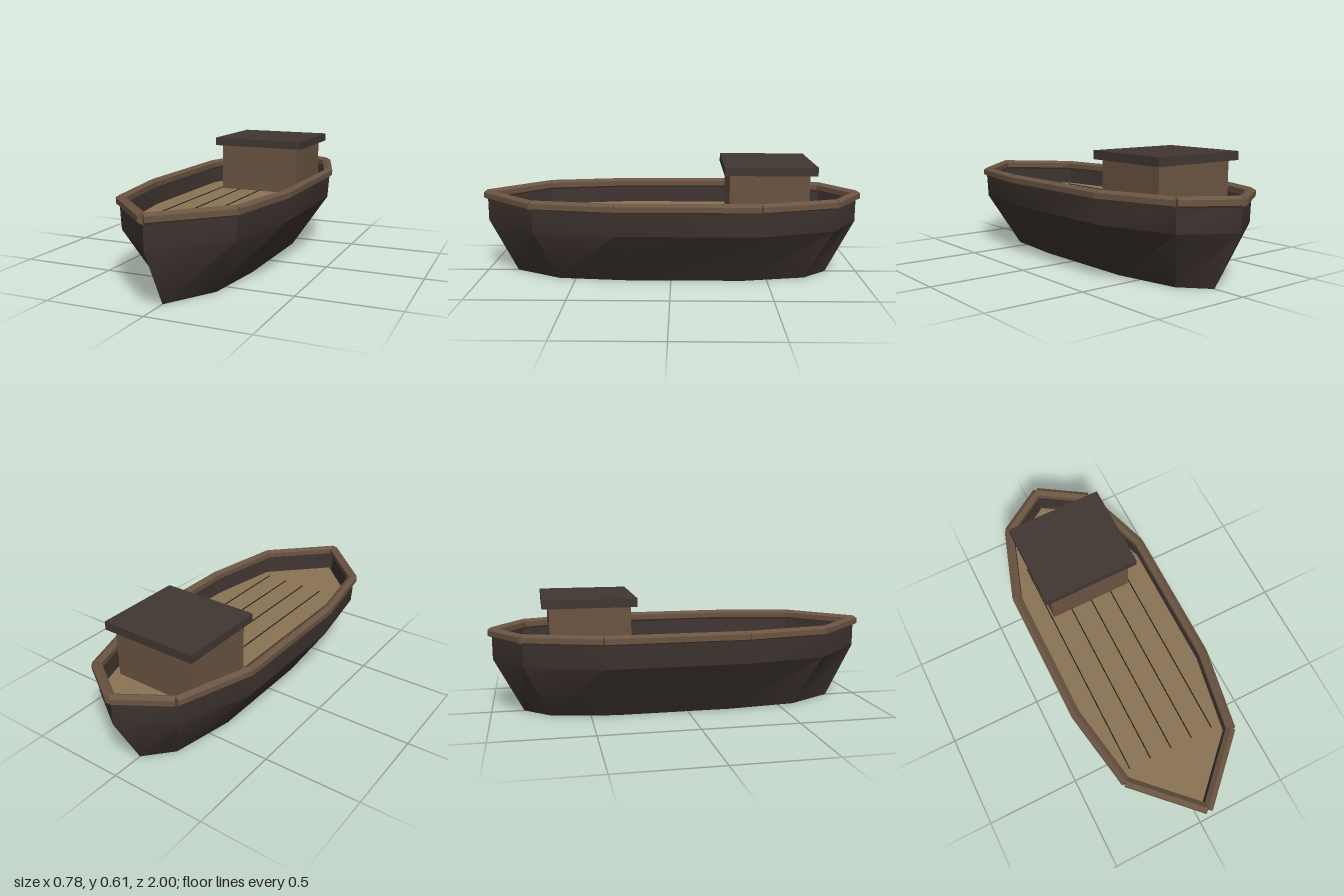
import * as THREE from 'three';
import { toCreasedNormals } from 'three/addons/utils/BufferGeometryUtils.js';

const mat = (color, options = { flatShading: true }) =>
  new THREE.MeshStandardMaterial({ color, ...options });

// Half outline of the boat from bow to stern as [x, z], mirrored into a closed ring
const half = [[0, 0.983], [0.293, 0.69], [0.365, 0.272], [0.365, -0.443], [0.24, -0.825], [0, -0.98]];
const ring = [...half, ...half.slice(1, -1).reverse().map(([x, z]) => [-x, z])];

// Loft through scaled copies of the ring: levels are [y, xScale, zScale]
function loft(levels, capBottom, capTop) {
  const pos = [];
  const n = ring.length;
  const at = ([y, sx, sz], i) => [ring[i % n][0] * sx, y, ring[i % n][1] * sz];
  for (let l = 0; l < levels.length - 1; l++) {
    for (let i = 0; i < n; i++) {
      const a = at(levels[l], i), b = at(levels[l], i + 1);
      const c = at(levels[l + 1], i + 1), d = at(levels[l + 1], i);
      pos.push(...a, ...b, ...c, ...a, ...c, ...d);
    }
  }
  const top = levels[levels.length - 1];
  for (let i = 1; i < n - 1; i++) {
    if (capBottom) pos.push(...at(levels[0], 0), ...at(levels[0], i + 1), ...at(levels[0], i));
    if (capTop) pos.push(...at(top, 0), ...at(top, i), ...at(top, i + 1));
  }
  const geo = new THREE.BufferGeometry();
  geo.setAttribute('position', new THREE.Float32BufferAttribute(pos, 3));
  return toCreasedNormals(geo, 0.47);
}

export function createModel() {
  const boat = new THREE.Group();
  boat.name = 'boat';
  const add = (name, geometry, material, x = 0, y = 0, z = 0, parent = boat) => {
    const mesh = new THREE.Mesh(geometry, material);
    mesh.name = name;
    mesh.position.set(x, y, z);
    parent.add(mesh);
    return mesh;
  };

  const hullMat = mat(0x3e3430, { side: THREE.DoubleSide });
  const woodMat = mat(0x6a5442);
  const deckMat = mat(0x8b7355);
  const seamMat = mat(0x2a231f);
  const roofMat = mat(0x413733);

  // Open hull: narrow flat bottom, flared sides, nearly upright bulwark
  add('hull', loft([[0, 0.5, 0.85], [0.28, 0.997, 1], [0.42, 1.028, 1]], true, false), hullMat);

  // Deck set down inside the bulwark
  add('deck', loft([[0.285, 0.96, 0.962], [0.312, 0.96, 0.962]], true, true), deckMat);

  // Thin dark seams between the deck planks
  const seams = new THREE.Group();
  seams.name = 'deckSeams';
  for (let i = -2; i <= 2; i++) {
    add('deckSeam', new THREE.BoxGeometry(0.006, 0.006, 1.25), seamMat, i * 0.118, 0.312, 0, seams);
  }
  boat.add(seams);

  // Six-sided rail bars along the top edge
  const rail = new THREE.Group();
  rail.name = 'rail';
  boat.add(rail);
  ring.forEach(([x, z], i) => {
    const [x2, z2] = ring[(i + 1) % ring.length];
    const geo = new THREE.CylinderGeometry(0.0268, 0.0268, Math.hypot(x2 - x, z2 - z), 6);
    geo.rotateX(Math.PI / 2);
    const bar = add('railBar', geo, woodMat, (x + x2) / 2, 0.42, (z + z2) / 2, rail);
    bar.rotation.y = Math.atan2(x2 - x, z2 - z);
  });

  // Cabin near the stern with an overhanging flat roof
  add('cabin', new THREE.BoxGeometry(0.45, 0.256, 0.4), woodMat, 0, 0.438, -0.496);
  add('cabinRoof', new THREE.BoxGeometry(0.514, 0.043, 0.462), roofMat, 0, 0.5865, -0.499);

  return boat;
}
